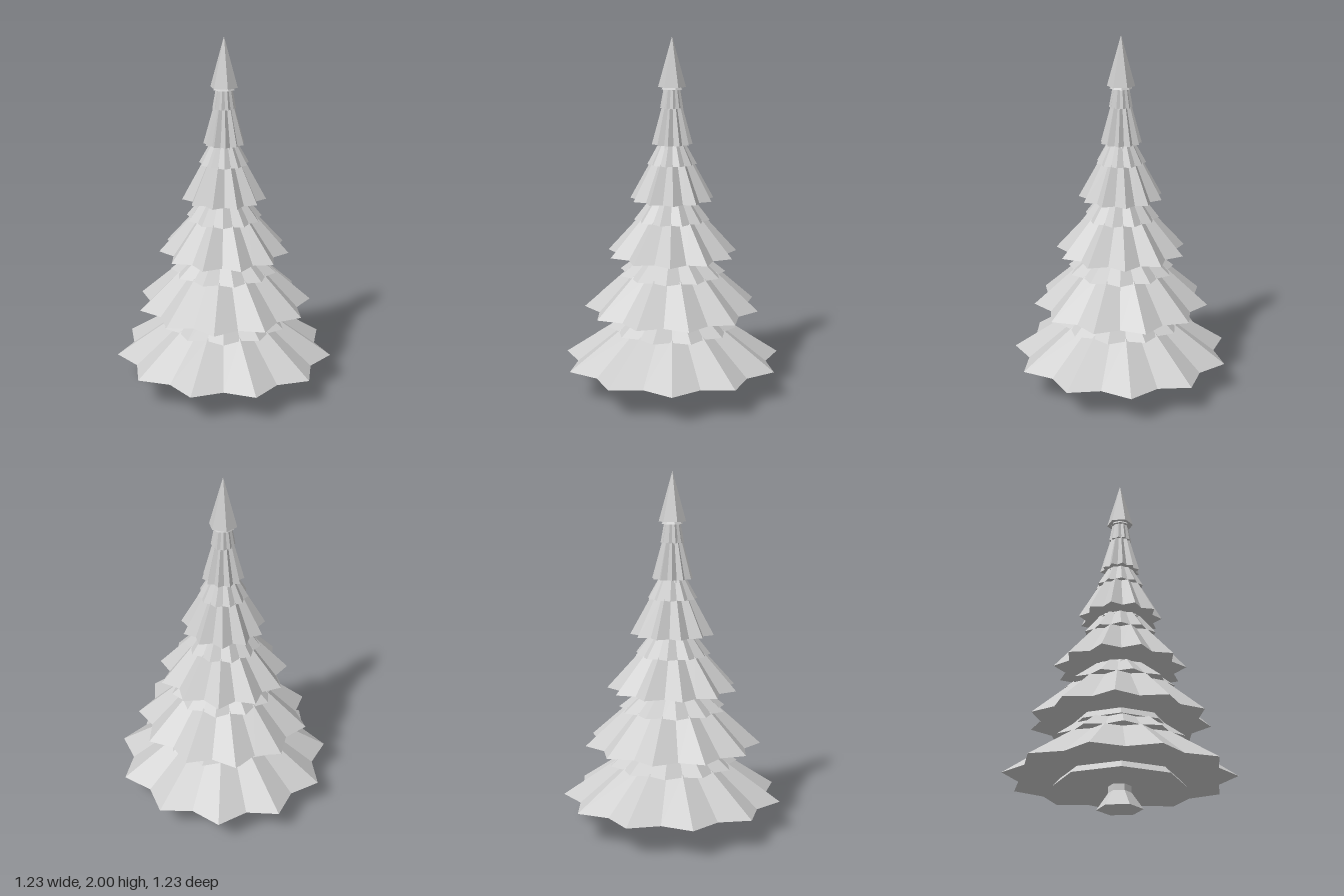
import * as THREE from 'three';

const POINTS = 11;

export function createModel() {
  const tree = new THREE.Group();
  tree.name = 'coniferTree';
  const grey = new THREE.MeshStandardMaterial({ color: 0xcccccc, flatShading: true });
  grey.name = 'paleGrey';

  // Frustum or cone standing between two heights, turned about y
  function ring(name, sides, y0, r0, y1, r1, turn = 0) {
    const geometry = new THREE.CylinderGeometry(r1, r0, y1 - y0, sides);
    geometry.rotateY(THREE.MathUtils.degToRad(turn));
    geometry.translate(-0.006, (y0 + y1) / 2, 0);
    const mesh = new THREE.Mesh(geometry, grey);
    mesh.name = name;
    tree.add(mesh);
    return mesh;
  }

  // Star-shaped skirt: every second corner is pulled inwards
  function star(name, y0, r0, y1, r1, inner, tipAngle) {
    const geometry = new THREE.CylinderGeometry(r1, r0, y1 - y0, POINTS * 2);
    const p = geometry.attributes.position;
    for (let i = 0; i < p.count; i++) {
      const step = Math.round(Math.atan2(p.getX(i), p.getZ(i)) / (Math.PI / POINTS));
      const k = Math.abs(step) % 2 === 1 ? inner : 1;
      p.setX(i, p.getX(i) * k);
      p.setZ(i, p.getZ(i) * k);
    }
    geometry.rotateY(THREE.MathUtils.degToRad(90 - tipAngle));
    geometry.translate(-0.006, (y0 + y1) / 2, 0);
    const mesh = new THREE.Mesh(geometry, grey);
    mesh.name = name;
    tree.add(mesh);
  }

  // Trunk with a flared foot
  ring('trunkFoot', 6, 0, 0.125, 0.09, 0.062);
  ring('trunk', 6, 0.09, 0.062, 0.2, 0.062);

  // Branch tiers: base height, tip radius, radius and height of the upper layer,
  // top radius, inward pull, tip angle, collar height and collar radius
  const tiers = [
    [0.165, 0.625, 0.36, 0.37, 0.21, 0.87, -3.5, 0.125, 0.355],
    [0.475, 0.5, 0.675, 0.305, 0.16, 0.86, -14, 0.435, 0.28],
    [0.79, 0.37, 0.985, 0.215, 0.12, 0.83, -2, 0.75, 0.175],
    [1.1, 0.237, 1.3, 0.14, 0.075, 0.82, -5, 1.085, 0.13],
    [1.41, 0.115, 1.61, 0.066, 0.045, 0.8, 8, 1.395, 0.08],
  ];
  tiers.forEach(([y, r, upY, upR, topR, inner, angle, collarY, collarR], i) => {
    const n = i + 1;
    ring('collar' + n, 8, collarY, collarR, y + 0.01, collarR * 0.87, 22.5);
    star('lowerBranches' + n, y, r, upY + 0.01, upR * 0.86, inner, angle);
    star('upperBranches' + n, upY, upR, y + 0.315, topR, 0.88, angle + 180 / POINTS);
  });

  // Pointed top
  ring('topCollar', 8, 1.712, 0.062, 1.73, 0.05, 22.5);
  ring('treeTop', 6, 1.725, 0.077, 2, 0);

  return tree;
}
